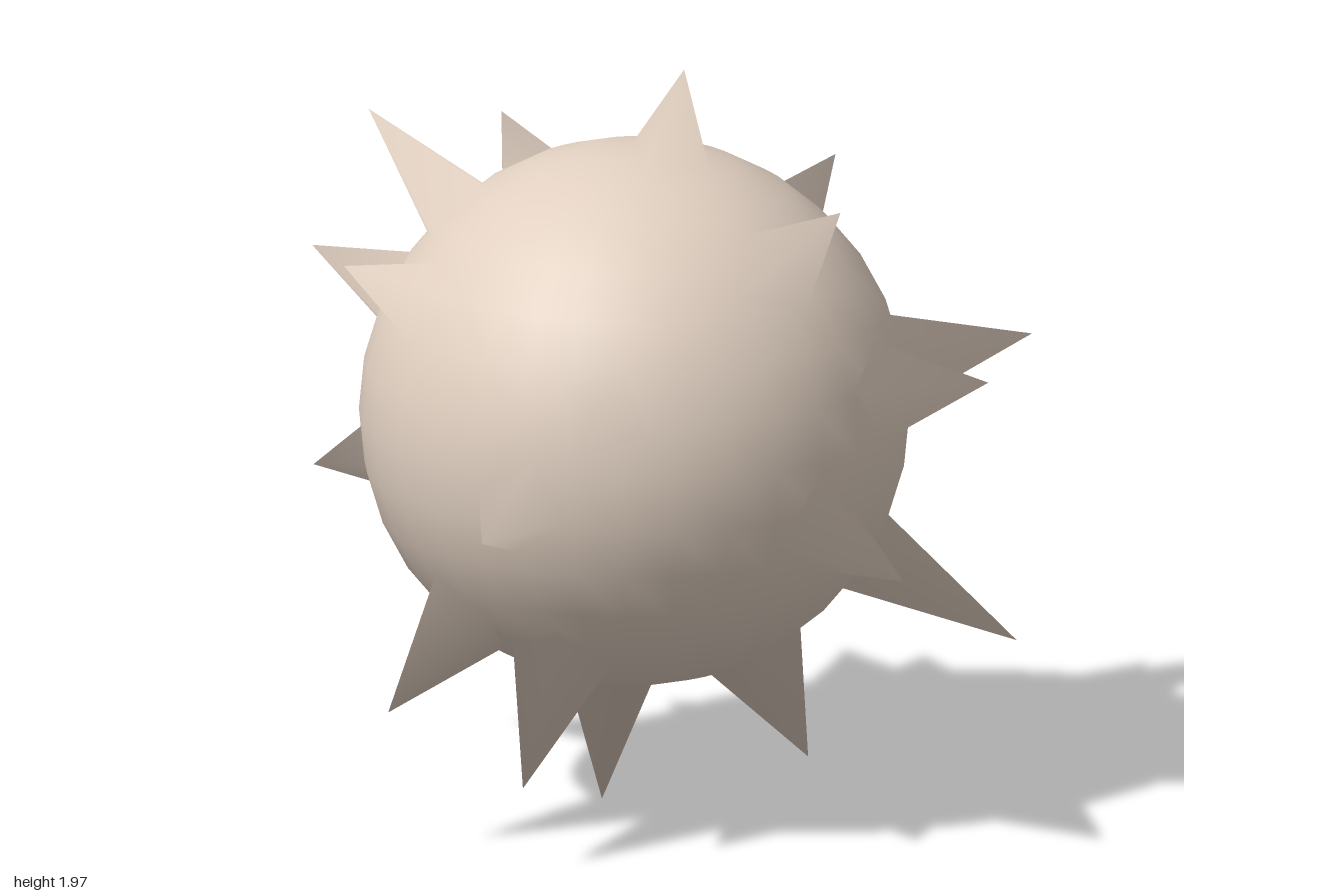
import * as THREE from 'three';

const CENTRE = new THREE.Vector3(-0.08, 1.05, -0.03);
const RADIUS = 0.7;
const SPIKE_ROOT = 0.65; // distance from the centre at which a spike starts
const SPIKE_RADIUS = 0.145;

// Spike tips, from the top of the ball to the bottom
const TIPS = [
  [-0.07, 1.97, 0.12], [-0.43, 1.83, -0.61], [-0.22, 1.72, 0.72], [0.2, 1.68, -0.65],
  [0.75, 1.55, 0], [-0.84, 1.54, -0.39], [-0.33, 1.41, -0.86], [-0.96, 1.31, 0.46],
  [0.13, 1.23, 0.93], [0.615, 1.22, 0.715], [1, 1.06, -0.03], [0.69, 0.99, -0.71],
  [-1, 0.93, 0.16], [-0.2, 0.79, -0.95], [-0.25, 0.79, 0.94], [0.72, 0.44, -0.02],
  [0.57, 0.42, 0.7], [-0.82, 0.38, -0.265], [0.4, 0.34, -0.495], [-0.74, 0.22, 0.1],
  [0.06, 0.18, 0.415], [-0.04, 0, -0.16],
];

// Four-sided spike along +y, with the ball's centre as origin;
// its normals fan out from that centre so it shades as one with the ball
function spikeGeometry(reach) {
  const geometry = new THREE.ConeGeometry(SPIKE_RADIUS, reach - SPIKE_ROOT, 4, 1, true);
  geometry.translate(0, (reach + SPIKE_ROOT) / 2, 0);
  geometry.setAttribute('normal', geometry.attributes.position.clone());
  geometry.normalizeNormals();
  return geometry;
}

export function createModel() {
  const model = new THREE.Group();
  model.name = 'spikedBall';
  const material = new THREE.MeshStandardMaterial({ color: 0xe1d0c1 });

  // Round body
  const body = new THREE.Mesh(new THREE.SphereGeometry(RADIUS, 32, 16), material);
  body.name = 'body';
  body.position.copy(CENTRE);
  model.add(body);

  // Spikes pointing straight out from the centre
  const spikes = new THREE.Group();
  spikes.name = 'spikes';
  spikes.position.copy(CENTRE);
  const up = new THREE.Vector3(0, 1, 0);
  TIPS.forEach((tip, i) => {
    const direction = new THREE.Vector3(...tip).sub(CENTRE);
    const spike = new THREE.Mesh(spikeGeometry(direction.length()), material);
    spike.name = `spike${i + 1}`;
    spike.quaternion.setFromUnitVectors(up, direction.normalize());
    spikes.add(spike);
  });
  model.add(spikes);

  return model;
}
